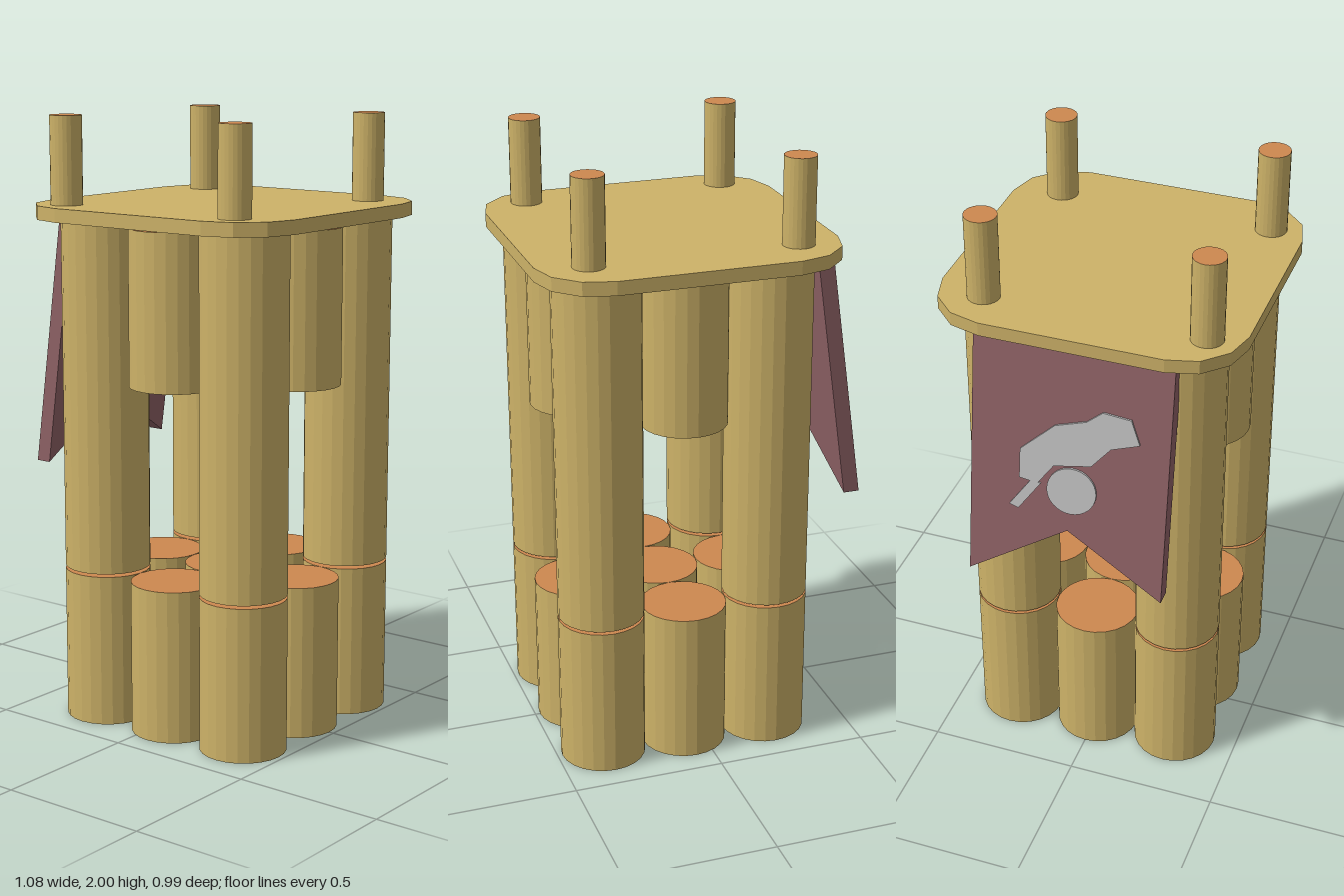
import * as THREE from 'three';

const flat = (name, color) => {
  const m = new THREE.MeshStandardMaterial({ color, flatShading: true });
  m.name = name;
  return m;
};

export function createModel() {
  const bark = flat('tan bark', 0xcdb268);
  const cutWood = flat('orange cut wood', 0xcd8850);
  const cloth = flat('maroon cloth', 0x8f6266);
  const paint = flat('grey paint', 0xc0c0c0);
  const model = new THREE.Group();
  model.name = 'logTower';

  const add = (name, geometry, material) => {
    const mesh = new THREE.Mesh(geometry, material);
    mesh.name = name;
    model.add(mesh);
    return mesh;
  };

  // Upright log with differently coloured cut ends
  const log = (name, x, z, y0, y1, r) => {
    const geometry = new THREE.CylinderGeometry(r, r, y1 - y0, 24);
    add(name, geometry, [bark, cutWood, cutWood]).position.set(x, (y0 + y1) / 2, z);
  };

  // Three by three log base, corner posts and short hanging logs between them
  const centreX = 0.06, pitch = 0.283, radius = 0.141;
  for (const i of [-1, 0, 1]) {
    for (const j of [-1, 0, 1]) {
      const x = centreX + i * pitch, z = j * pitch;
      log('baseLog', x, z, 0, 0.507, radius);
      if (i && j) log('cornerPost', x, z, 0.517, 1.67, radius);
      else if (i || j) log('hangingLog', x, z, 1.15, 1.657, radius);
    }
  }

  // Platform with corners rounded in three steps
  const outline = [];
  const corners = [[0.34, 0.295], [-0.245, 0.295], [-0.245, -0.295], [0.34, -0.295]];
  corners.forEach(([cx, cy], k) => {
    for (let s = 0; s <= 3; s++) {
      const a = (k + s / 3) * Math.PI / 2;
      outline.push(new THREE.Vector2(cx + 0.2 * Math.cos(a), cy + 0.2 * Math.sin(a)));
    }
  });
  const platform = new THREE.ExtrudeGeometry(new THREE.Shape(outline), { depth: 0.045, bevelEnabled: false });
  platform.rotateX(-Math.PI / 2);
  add('platform', platform, bark).position.y = 1.67;

  // Railing pegs
  for (const x of [-0.297, 0.38]) {
    for (const z of [-0.335, 0.38]) log('railingPeg', x, z, 1.715, 2, 0.052);
  }

  // Panels on the right side, drawn as (z, y) and leaning outwards at the foot
  const leaningPanel = (name, shape, depth, offset, material) => {
    const geometry = new THREE.ExtrudeGeometry(shape, { depth, bevelEnabled: false, curveSegments: 16 });
    geometry.rotateY(Math.PI / 2);
    const p = geometry.attributes.position;
    for (let i = 0; i < p.count; i++) {
      p.setX(i, p.getX(i) + offset - 0.522 + 0.14 * (p.getY(i) - 0.835) + 0.054 * p.getZ(i));
    }
    geometry.computeVertexNormals();
    add(name, geometry, material);
  };
  const polygon = (points) => new THREE.Shape(points.map(([z, y]) => new THREE.Vector2(-z, y)));

  // Swallow-tailed banner
  const banner = polygon([[-0.32, 1.668], [-0.32, 0.835], [0, 1.035], [0.315, 0.835], [0.315, 1.668]]);
  leaningPanel('banner', banner, 0.053, 0, cloth);

  // Abstract painted patches: a bent band, a thin strip and a disc
  const band = polygon([
    [-0.16, 1.2], [-0.16, 1.3], [-0.05, 1.4], [0.05, 1.43], [0.1, 1.47], [0.19, 1.46],
    [0.22, 1.38], [0.13, 1.35], [0.07, 1.28], [-0.05, 1.26], [-0.1, 1.19],
  ]);
  const strip = polygon([[-0.19, 1.1], [-0.16, 1.09], [-0.09, 1.19], [-0.12, 1.2]]);
  const disc = new THREE.Shape().absarc(-0.01, 1.18, 0.08, 0, Math.PI * 2);
  for (const shape of [band, strip, disc]) leaningPanel('bannerPaint', shape, 0.006, -0.006, paint);

  return model;
}
